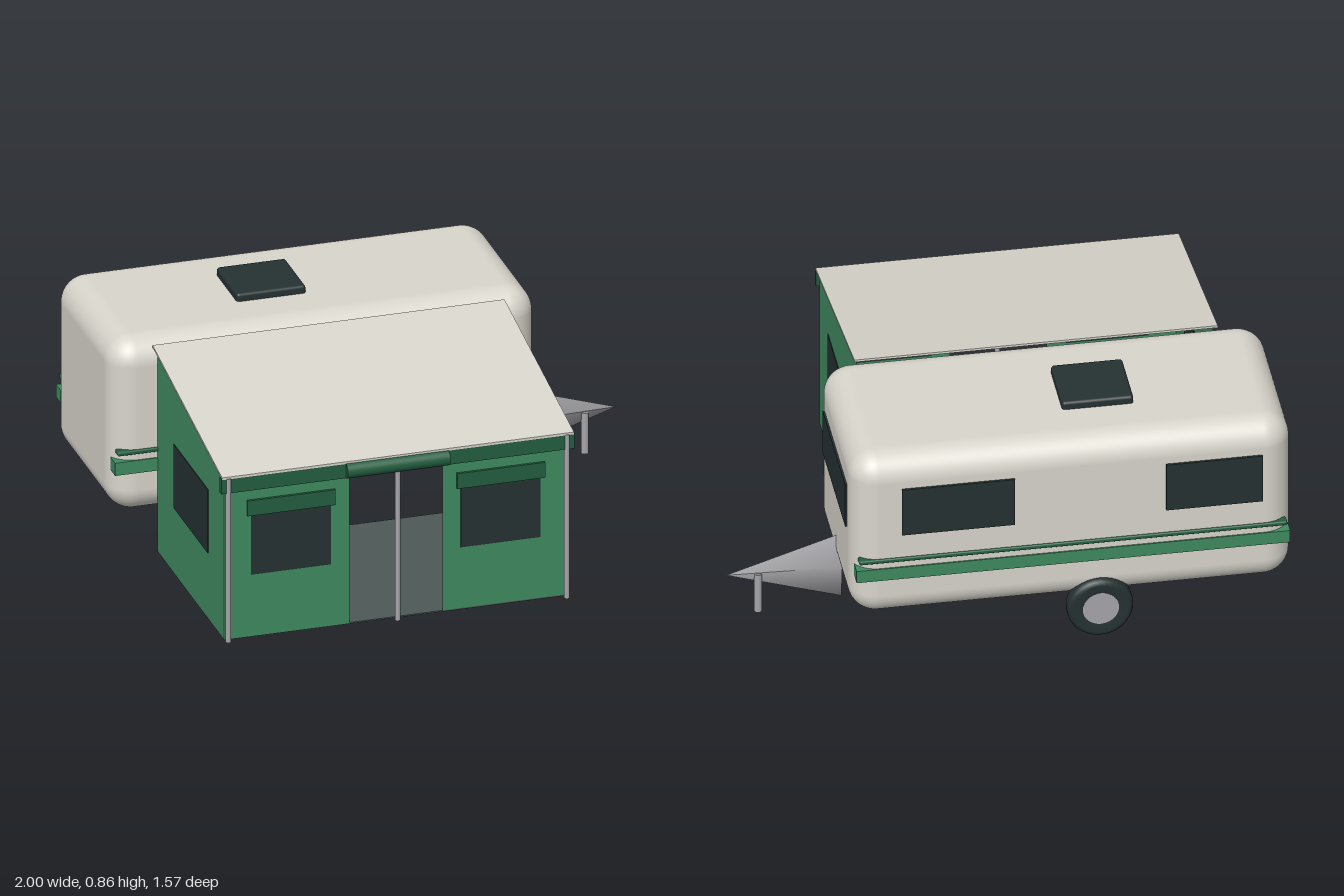
import * as THREE from 'three';
import { RoundedBoxGeometry } from 'three/addons/geometries/RoundedBoxGeometry.js';

const paint = (name, color, side = THREE.FrontSide) => {
  const m = new THREE.MeshStandardMaterial({ color, side });
  m.name = name;
  return m;
};

export function createModel() {
  const cream = paint('cream shell', 0xd8d5cc);
  const green = paint('green canvas', 0x3f8a60, THREE.DoubleSide);
  const darkGreen = paint('dark green trim', 0x235f40);
  const dark = paint('dark glass and rubber', 0x253132);
  const grey = paint('grey metal', 0xa6a6aa);
  const floorGrey = paint('groundsheet grey', 0x4d5855);

  const model = new THREE.Group();
  model.name = 'caravanWithAwning';

  const add = (name, geometry, material, x = 0, y = 0, z = 0, parent = model) => {
    const mesh = new THREE.Mesh(geometry, material);
    mesh.name = name;
    mesh.position.set(x, y, z);
    parent.add(mesh);
    return mesh;
  };
  // Box given by its lower and upper limits, optionally rounded
  const span = (name, material, [x0, x1], [y0, y1], [z0, z1], parent = model, radius = 0) => {
    const size = [x1 - x0, y1 - y0, z1 - z0];
    const geometry = radius
      ? new RoundedBoxGeometry(...size, radius > 0.05 ? 8 : 3, radius)
      : new THREE.BoxGeometry(...size);
    return add(name, geometry, material, (x0 + x1) / 2, (y0 + y1) / 2, (z0 + z1) / 2, parent);
  };

  // Caravan
  const caravan = new THREE.Group();
  caravan.name = 'caravan';
  model.add(caravan);
  const midZ = -0.41;
  span('shell', cream, [-1, 0.6], [0.15, 0.83], [-0.76, -0.06], caravan, 0.1);
  span('roofVent', dark, [-0.46, -0.2], [0.82, 0.86], [-0.54, -0.29], caravan, 0.012);
  span('endWindow', dark, [0.598, 0.607], [0.49, 0.67], [-0.65, -0.17], caravan);
  for (const xs of [[-0.89, -0.54], [0.01, 0.42]]) {
    span('rearWindow', dark, xs, [0.51, 0.705], [-0.769, -0.76], caravan);
  }

  // Tyre profile turned about the axle
  const tyre = new THREE.LatheGeometry([
    [0.062, -0.03], [0.1, -0.037], [0.114, -0.03], [0.12, -0.016],
    [0.12, 0.016], [0.114, 0.03], [0.1, 0.037], [0.062, 0.03],
  ].map(([r, h]) => new THREE.Vector2(r, h)), 32).rotateX(Math.PI / 2);
  const hub = new THREE.CylinderGeometry(0.066, 0.066, 0.064, 28).rotateX(Math.PI / 2);

  // Stripes and wheels on both long sides
  for (const side of [-1, 1]) {
    const across = (inner, outer) => {
      const a = midZ + side * inner, b = midZ + side * outer;
      return [Math.min(a, b), Math.max(a, b)];
    };
    span('wideStripe', green, [-0.99, 0.585], [0.32, 0.37], across(0.3, 0.355), caravan);
    span('narrowStripe', darkGreen, [-0.98, 0.575], [0.394, 0.411], across(0.32, 0.357), caravan, 0.006);
    const wheel = new THREE.Group();
    wheel.name = 'wheel';
    wheel.position.set(-0.3, 0.121, midZ + side * 0.338);
    caravan.add(wheel);
    add('tyre', tyre, dark, 0, 0, 0, wheel);
    add('hub', hub, grey, 0, 0, 0, wheel);
  }

  // Flat tapering drawbar and its stand
  const drawbar = new THREE.ConeGeometry(1, 1, 4).rotateZ(-Math.PI / 2).scale(0.42, 0.135, 0.018);
  add('drawbar', drawbar, grey, 0.79, 0.165, midZ, caravan);
  add('stand', new THREE.CylinderGeometry(0.014, 0.014, 0.16, 16), grey, 0.883, 0.08, midZ, caravan);

  // Awning
  const awning = new THREE.Group();
  awning.name = 'awning';
  model.add(awning);
  const left = 0.465, right = -0.83, front = 0.74, back = -0.06;
  span('groundsheet', floorGrey, [right, left], [0, 0.005], [back, front], awning);

  // Sloping roof sheet, extruded along x
  const roofShape = new THREE.Shape([
    [-0.07, 0.8], [0.765, 0.643], [0.765, 0.652], [-0.07, 0.809],
  ].map(([z, y]) => new THREE.Vector2(-z, y)));
  const roof = new THREE.ExtrudeGeometry(roofShape, { depth: 1.32, bevelEnabled: false });
  add('awningRoof', roof.rotateY(Math.PI / 2), cream, -0.845, 0, 0, awning);

  // Side walls with windows
  const wallShape = new THREE.Shape([
    [back, 0], [front, 0], [front, 0.645], [back, 0.796],
  ].map(([z, y]) => new THREE.Vector2(-z, y)));
  for (const x of [right, left]) {
    const wall = new THREE.ShapeGeometry(wallShape).rotateY(Math.PI / 2);
    add('sideWall', wall, green, x, 0, 0, awning);
    span('sideWindow', dark, [x - 0.003, x + 0.003], [0.26, 0.51], [0.14, 0.55], awning);
  }

  // Front panels, each with a window and a rolled blind
  for (const [x0, x1] of [[right, -0.36], [-0.01, left]]) {
    const cx = x0 < -0.5 ? -0.58 : 0.207;
    span('frontPanel', green, [x0, x1], [0, 0.645], [front - 0.003, front], awning);
    span('frontWindow', dark, [cx - 0.15, cx + 0.15], [0.245, 0.5], [front - 0.006, front + 0.003], awning);
    span('windowBlind', darkGreen, [cx - 0.165, cx + 0.165], [0.48, 0.54], [front, front + 0.01], awning);
  }

  // Front edge trim and rolled-up door
  span('valance', darkGreen, [-0.848, 0.477], [0.587, 0.647], [0.744, 0.764], awning);
  const roll = new THREE.CylinderGeometry(0.03, 0.03, 0.385, 24).rotateZ(Math.PI / 2);
  add('rolledDoor', roll, darkGreen, -0.187, 0.615, 0.757, awning);

  // Poles: the middle one ends under the rolled door
  for (const [x, h] of [[-0.82, 0.645], [-0.185, 0.6], [0.45, 0.645]]) {
    add('pole', new THREE.CylinderGeometry(0.01, 0.01, h, 16), grey, x, h / 2, 0.759, awning);
  }

  return model;
}
